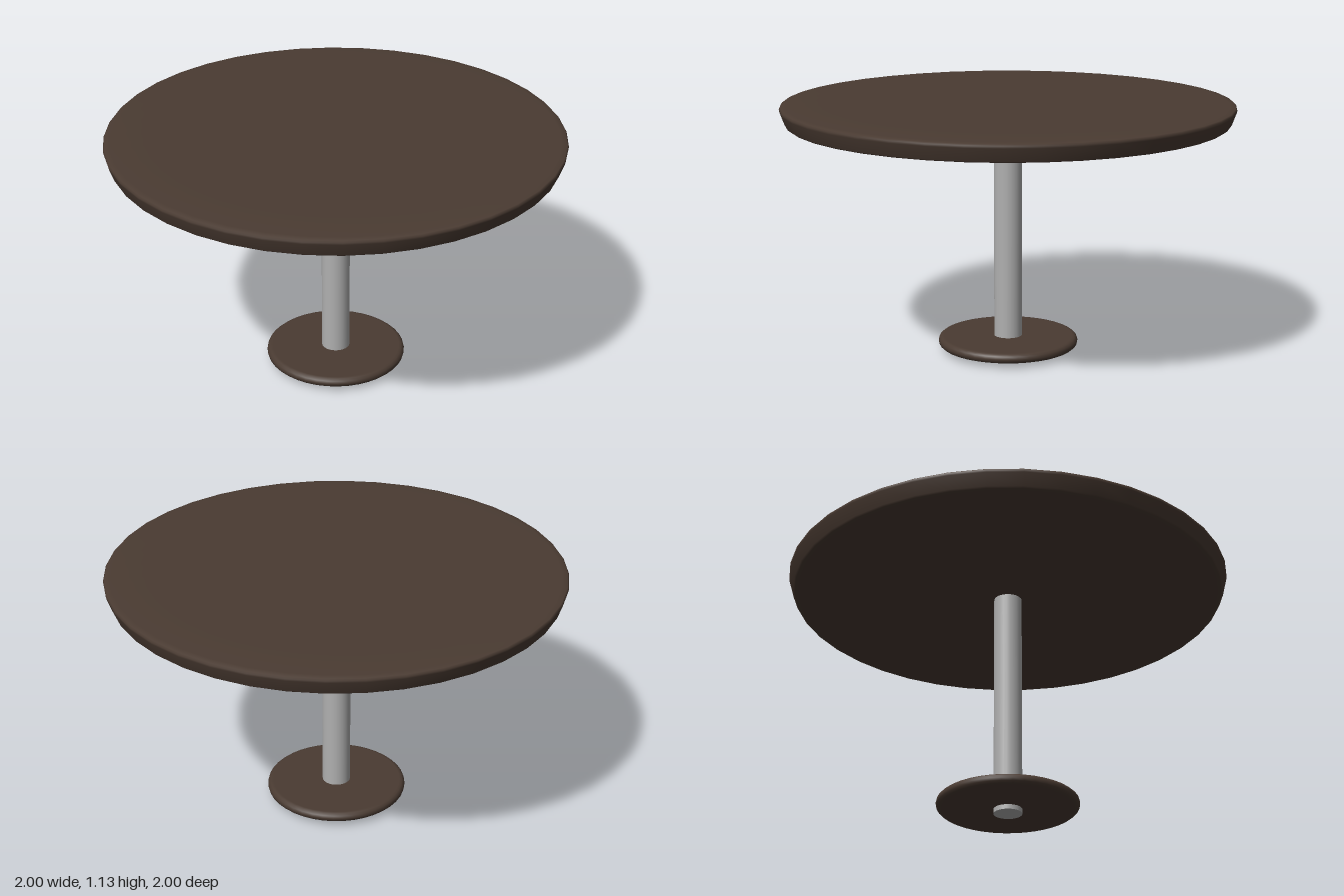
import * as THREE from 'three';

export function createModel() {
  const model = new THREE.Group();
  const wood = new THREE.MeshStandardMaterial({ color: 0x4a3b32 });
  wood.name = 'dark brown wood';
  const metal = new THREE.MeshStandardMaterial({ color: 0xb0b0b0 });
  metal.name = 'grey metal';

  // Solid of revolution from [radius, height] pairs, bottom to top
  function addDisc(name, profile, segments) {
    const points = profile.map(([r, y]) => new THREE.Vector2(r, y));
    const mesh = new THREE.Mesh(new THREE.LatheGeometry(points, segments), wood);
    mesh.name = name;
    model.add(mesh);
  }

  // Round top with an undercut rim and softly rounded upper edge
  addDisc('tableTop', [
    [0, 1.045], [0.95, 1.045], [0.97, 1.047], [0.978, 1.053],
    [0.998, 1.108], [1, 1.118], [0.994, 1.125], [0.97, 1.129], [0.8, 1.134], [0, 1.134],
  ], 40);

  // Foot plate with a rounded rim
  addDisc('footPlate', [
    [0, 0.021], [0.29, 0.021], [0.302, 0.023], [0.311, 0.031], [0.314, 0.043],
    [0.311, 0.055], [0.302, 0.063], [0.29, 0.065], [0, 0.065],
  ], 40);

  // Post running from the floor through the foot plate to the top
  const post = new THREE.Mesh(new THREE.CylinderGeometry(0.063, 0.063, 1.06, 24), metal);
  post.name = 'post';
  post.position.y = 0.53;
  model.add(post);

  return model;
}
